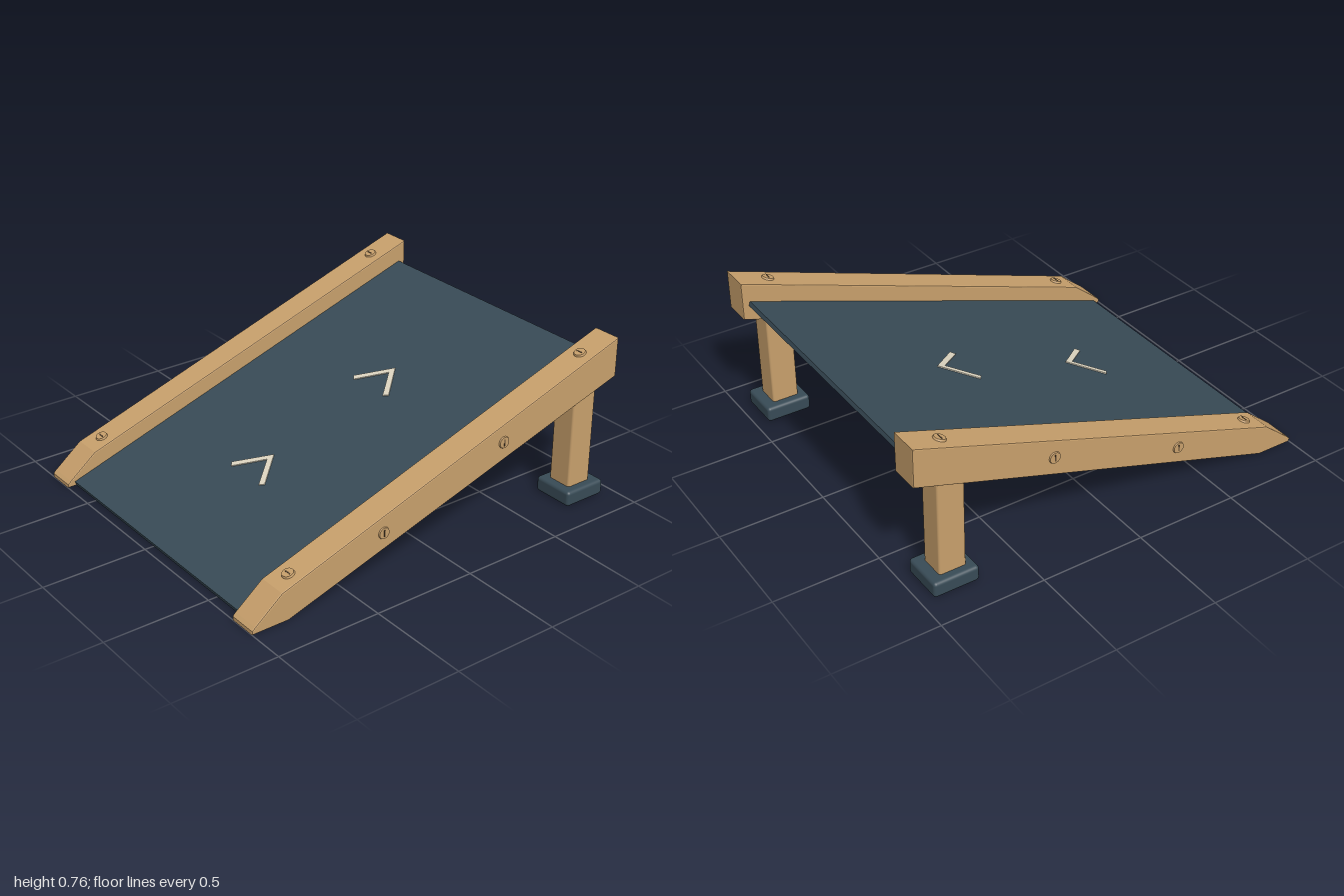
import * as THREE from 'three';
import { RoundedBoxGeometry } from 'three/addons/geometries/RoundedBoxGeometry.js';

export function createModel() {
  const model = new THREE.Group();
  model.name = 'ramp';
  const material = (name, color) => {
    const m = new THREE.MeshStandardMaterial({ color });
    m.name = name;
    return m;
  };
  const wood = material('wood', 0xc8a06c);
  const rubber = material('dark rubber', 0x384b56);
  const cream = material('cream paint', 0xded6c2);
  const slotDark = material('screw slot', 0x5a4630);

  const add = (parent, name, geometry, mat, x = 0, y = 0, z = 0) => {
    const mesh = new THREE.Mesh(geometry, mat);
    mesh.name = name;
    mesh.position.set(x, y, z);
    parent.add(mesh);
    return mesh;
  };

  const slope = 0.33;
  const tilt = Math.atan(slope);
  const deckY = 0.341;
  const railX = 0.748;

  // Sloping deck; its local y is the surface normal and local z runs downhill
  const deck = new THREE.Group();
  deck.name = 'deck';
  deck.position.y = deckY;
  deck.rotation.x = tilt;
  model.add(deck);
  add(deck, 'deckPanel', new THREE.BoxGeometry(1.37, 0.022, 2.03), rubber, 0, -0.011, 0);

  // Painted chevrons pointing uphill
  const chevron = new THREE.Shape([
    [0, 0], [0.13, -0.152], [0.108, -0.17], [0, -0.04], [-0.108, -0.17], [-0.13, -0.152],
  ].map(([x, y]) => new THREE.Vector2(x, y)).reverse());
  for (const z of [-0.395, 0.305]) {
    const g = new THREE.ExtrudeGeometry(chevron, { depth: 0.005, bevelEnabled: false });
    g.rotateX(-Math.PI / 2);
    add(deck, 'chevron', g, cream, 0, 0, z / Math.cos(tilt));
  }

  // Cross bars under the deck
  for (const z of [-0.35, 0.35]) {
    add(deck, 'crossBar', new THREE.BoxGeometry(1.37, 0.06, 0.1), wood, 0, -0.052, z);
  }

  // Side profile of a rail, as z and y
  const profile = new THREE.Shape([
    [1, 0], [1, 0.018], [0.985, 0.032], [0.85, 0.14], [-1, 0.76], [-1, 0.572], [0.82, 0],
  ].map(([z, y]) => new THREE.Vector2(z, y)));
  const bevel = 0.006;
  const railGeometry = new THREE.ExtrudeGeometry(profile, {
    depth: 0.144 - 2 * bevel, bevelEnabled: true, bevelSize: bevel,
    bevelThickness: bevel, bevelOffset: -bevel, bevelSegments: 2,
  });
  railGeometry.translate(0, 0, -0.072 + bevel);
  railGeometry.rotateY(-Math.PI / 2);

  // Screw head with a slot, facing along local y
  const addScrew = (x, y, z, rx, rz) => {
    const screw = new THREE.Group();
    screw.name = 'screw';
    screw.position.set(x, y, z);
    screw.rotation.set(rx, 0, rz);
    add(screw, 'screwHead', new THREE.CylinderGeometry(0.026, 0.031, 0.014, 20), wood);
    add(screw, 'screwSlot', new THREE.BoxGeometry(0.032, 0.002, 0.006), slotDark, 0, 0.0075, 0);
    model.add(screw);
  };

  for (const side of [1, -1]) {
    const x = side * railX;
    add(model, 'rail', railGeometry, wood, x);

    // Rear leg and rubber foot
    add(model, 'leg', new RoundedBoxGeometry(0.125, 0.52, 0.13, 2, 0.012), wood, x, 0.32, -0.825);
    add(model, 'foot', new RoundedBoxGeometry(0.208, 0.075, 0.22, 3, 0.016), rubber, x, 0.0375, -0.83);

    // Screws on the rail top and on its outer side
    for (const z of [-0.835, 0.77]) {
      addScrew(x, 0.14 + (0.85 - z) * 0.335 + 0.002, z, tilt, 0);
    }
    for (const [y, z] of [[0.45, -0.33], [0.235, 0.33]]) {
      addScrew(side * 0.819, y, z, 0, -side * Math.PI / 2);
    }
  }
  return model;
}
